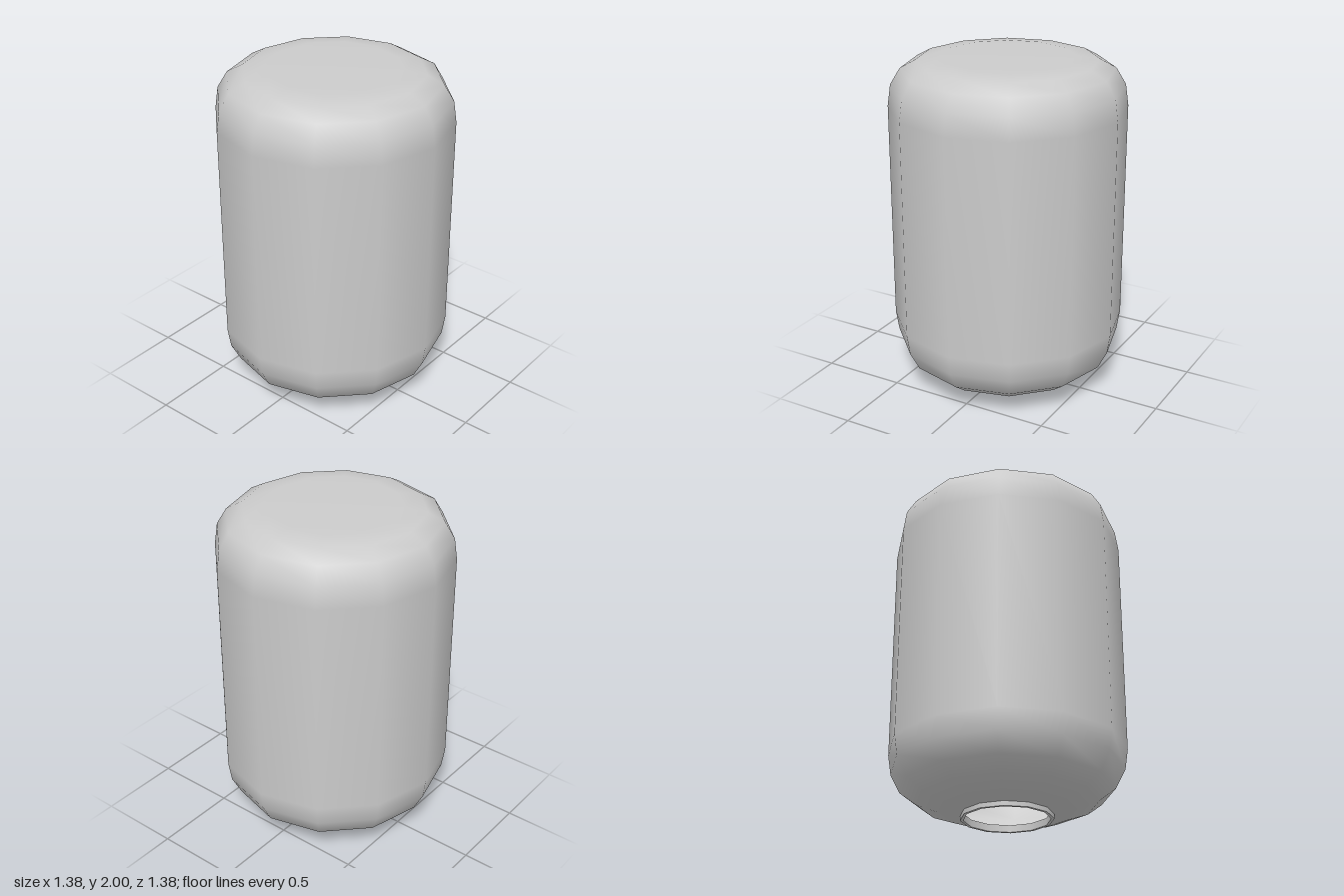
import * as THREE from 'three';

const SIDES = 12;

export function createModel() {
  const group = new THREE.Group();
  const material = new THREE.MeshStandardMaterial({ color: 0xcccccc });

  // Each part is a smooth 12-sided turned surface
  const turn = (name, points) => {
    const profile = points.map(([r, y]) => new THREE.Vector2(r, y));
    const mesh = new THREE.Mesh(new THREE.LatheGeometry(profile, SIDES), material);
    mesh.name = name;
    group.add(mesh);
  };

  // Outer shell: rounded shoulder below, straight wall, rounded flat top
  turn('outerShell', [
    [0.265, 0.027], [0.4, 0.055], [0.52, 0.1], [0.615, 0.17], [0.672, 0.28], [0.69, 0.4],
    [0.69, 1.71], [0.672, 1.835], [0.615, 1.93], [0.52, 1.982], [0.385, 2], [0, 2],
  ]);

  // Inner lining, listed from top to bottom so that it faces inward
  turn('innerLining', [
    [0, 1.985], [0.385, 1.985], [0.513, 1.965], [0.6, 1.915], [0.655, 1.83], [0.672, 1.71],
    [0.672, 0.4], [0.655, 0.285], [0.6, 0.183], [0.513, 0.117], [0.395, 0.073], [0.247, 0.042],
  ]);

  // Short open neck under the body
  turn('neckOuter', [[0.265, 0], [0.265, 0.027]]);
  turn('neckRim', [[0.247, 0], [0.265, 0]]);
  turn('neckInner', [[0.247, 0.042], [0.247, 0]]);

  return group;
}
